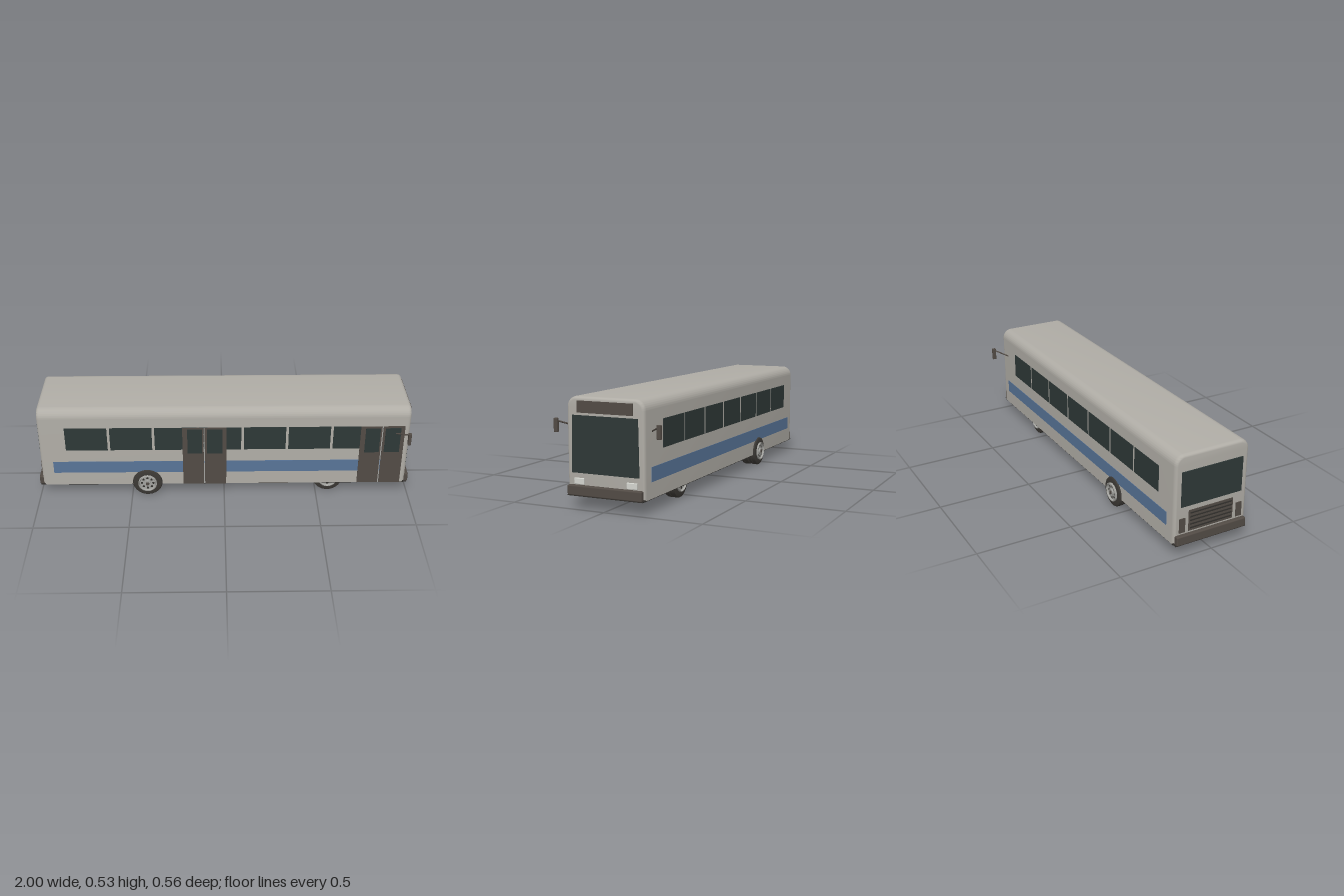
import * as THREE from 'three';
import { toCreasedNormals } from 'three/addons/utils/BufferGeometryUtils.js';
import { RoundedBoxGeometry } from 'three/addons/geometries/RoundedBoxGeometry.js';

const mat = (name, color) => {
  const m = new THREE.MeshStandardMaterial({ color });
  m.name = name;
  return m;
};

export function createModel() {
  const paint = mat('body grey', 0xb0ada6);
  const blue = mat('stripe blue', 0x587498);
  const glass = mat('window glass', 0x2e3837);
  const trim = mat('dark trim', 0x524b45);
  const under = mat('underbody', 0x33312e);
  const rubber = mat('tyre rubber', 0x3c3935);
  const metal = mat('rim metal', 0xa2a29e);
  const lamp = mat('headlight', 0xd4d6d0);

  const bus = new THREE.Group();
  bus.name = 'bus';

  const add = (name, geometry, material, parent = bus) => {
    const m = new THREE.Mesh(geometry, material);
    m.name = name;
    parent.add(m);
    return m;
  };
  // Box given by its limits on each axis
  const box = (name, material, x0, x1, y0, y1, z0, z1, parent = bus) => {
    const m = add(name, new THREE.BoxGeometry(x1 - x0, y1 - y0, z1 - z0), material, parent);
    m.position.set((x0 + x1) / 2, (y0 + y1) / 2, (z0 + z1) / 2);
    return m;
  };

  // Body shell: cross-section with rounded roof corners, bevelled at both ends
  const w = 0.19, bottom = 0.082, top = 0.515, r = 0.036;
  const section = new THREE.Shape();
  section.moveTo(-w, bottom);
  section.lineTo(w, bottom);
  section.lineTo(w, top - r);
  section.absarc(w - r, top - r, r, 0, Math.PI / 2, false);
  section.absarc(-w + r, top - r, r, Math.PI / 2, Math.PI, false);
  section.closePath();
  const shell = new THREE.ExtrudeGeometry(section, {
    depth: 1.92, bevelEnabled: true, bevelSize: 0.015, bevelThickness: 0.02,
    bevelSegments: 5, curveSegments: 8,
  });
  shell.translate(0, 0, -0.96);
  shell.rotateY(Math.PI / 2);
  add('body', toCreasedNormals(shell, 0.6), paint);
  box('underbody', under, -0.975, 0.975, 0.064, 0.075, -0.203, 0.203);

  // Side windows and stripes
  for (const side of [1, -1]) {
    const z0 = side * 0.205 - 0.002, z1 = side * 0.205 + 0.002;
    for (let i = 0; i < 7; i++) {
      const x = -0.84 + i * 0.236;
      box('sideWindow', glass, x, x + 0.222, 0.288, 0.425, z0, z1);
    }
    box('sideStripe', blue, -0.915, 0.915, 0.145, 0.215, z0, z1);
  }

  // Two double doors on the left flank
  for (const x of [-0.221, 0.72]) {
    const door = new THREE.Group();
    door.name = 'door';
    bus.add(door);
    for (const [a, b, g0, g1] of [[0, 0.112, 0.026, 0.104], [0.118, 0.232, 0.13, 0.212]]) {
      box('doorLeaf', trim, x + a, x + b, 0.068, 0.425, 0.2, 0.209, door);
      box('doorGlass', glass, x + g0, x + g1, 0.265, 0.415, 0.208, 0.2105, door);
    }
    box('doorSeal', metal, x + 0.112, x + 0.118, 0.068, 0.425, 0.203, 0.207, door);
  }

  // Front face
  const screen = new THREE.Shape([
    new THREE.Vector2(-0.178, 0.172), new THREE.Vector2(0.178, 0.172),
    new THREE.Vector2(0.173, 0.443), new THREE.Vector2(-0.173, 0.443),
  ]);
  const screenGeo = new THREE.ExtrudeGeometry(screen, { depth: 0.006, bevelEnabled: false });
  screenGeo.rotateY(Math.PI / 2);
  add('windscreen', screenGeo, glass).position.x = 0.978;
  box('destinationPanel', trim, 0.977, 0.984, 0.455, 0.511, -0.147, 0.147);

  // Rear face: window, louvred engine grille
  box('rearWindow', glass, -0.985, -0.977, 0.262, 0.445, -0.17, 0.17);
  box('engineGrille', trim, -0.984, -0.977, 0.125, 0.235, -0.125, 0.125);
  for (let i = 0; i < 5; i++) {
    const y = 0.137 + i * 0.02;
    box('grilleSlat', under, -0.986, -0.982, y, y + 0.007, -0.118, 0.118);
  }

  // Lamps and mirrors on both sides
  for (const s of [1, -1]) {
    const head = add('headlight', new RoundedBoxGeometry(0.012, 0.03, 0.054, 2, 0.003), lamp);
    head.position.set(0.98, 0.133, s * 0.14);
    const tail = add('tailLight', new THREE.BoxGeometry(0.008, 0.075, 0.032), trim);
    tail.position.set(-0.981, 0.163, s * 0.161);

    const mirror = new THREE.Group();
    mirror.name = 'mirror';
    bus.add(mirror);
    const arm = new THREE.LineCurve3(
      new THREE.Vector3(0.9, 0.378, s * 0.2), new THREE.Vector3(0.963, 0.407, s * 0.265));
    add('mirrorArm', new THREE.TubeGeometry(arm, 1, 0.004, 8), trim, mirror);
    const head2 = add('mirrorHousing', new RoundedBoxGeometry(0.016, 0.067, 0.021, 2, 0.003), trim, mirror);
    head2.position.set(0.966, 0.387, s * 0.272);
  }

  // Bumpers
  for (const s of [1, -1]) {
    const bumper = add('bumper', new RoundedBoxGeometry(0.035, 0.05, 0.394, 3, 0.007), trim);
    bumper.position.set(s * 0.9825, 0.09, 0);
    box('bumperSkirt', under, s * 0.982 - 0.012, s * 0.982 + 0.012, 0.063, 0.067, -0.2, 0.2);
  }

  // Wheels: axis along z, outer face towards +z before mirroring
  const tyre = (width) => {
    const h = width / 2;
    const pts = [[0.05, -h], [0.07, -h], [0.077, -h + 0.003], [0.08, -h + 0.009],
      [0.08, -0.003], [0.076, -0.0015], [0.076, 0.0015], [0.08, 0.003],
      [0.08, h - 0.009], [0.077, h - 0.003], [0.07, h], [0.05, h]];
    const g = new THREE.LatheGeometry(pts.map(p => new THREE.Vector2(...p)), 36);
    g.rotateX(Math.PI / 2);
    return toCreasedNormals(g, 0.7);
  };
  const disc = (radius, depth, seg = 32) =>
    new THREE.CylinderGeometry(radius, radius, depth, seg).rotateX(Math.PI / 2);

  const wheel = (name, x, side, outer, tyreWidth, count) => {
    const g = new THREE.Group();
    g.name = name;
    g.position.set(x, 0.08, side * outer);
    if (side < 0) g.rotation.y = Math.PI;
    bus.add(g);
    for (let i = 0; i < count; i++) {
      add('tyre', tyre(tyreWidth), rubber, g).position.z = -tyreWidth / 2 - i * (tyreWidth + 0.004);
    }
    const depth = count * (tyreWidth + 0.004) - 0.006;
    add('wheelDrum', disc(0.0505, depth), under, g).position.z = -depth / 2 - 0.002;
    // Rim ring, dished disc, hand holes and hub
    const ring = [[0.041, -0.004], [0.05, -0.004], [0.05, 0.008], [0.046, 0.01], [0.041, 0.002], [0.041, -0.004]];
    const ringGeo = new THREE.LatheGeometry(ring.map(p => new THREE.Vector2(...p)), 36).rotateX(Math.PI / 2);
    add('rim', toCreasedNormals(ringGeo, 0.6), metal, g);
    add('rimDisc', disc(0.042, 0.006), metal, g).position.z = -0.002;
    for (let i = 0; i < 8; i++) {
      const a = (i / 8) * Math.PI * 2;
      add('rimHole', disc(0.0065, 0.002, 12), under, g)
        .position.set(Math.cos(a) * 0.031, Math.sin(a) * 0.031, 0.001);
    }
    add('hub', disc(0.018, 0.01, 20), metal, g).position.z = 0.004;
    add('hubCap', disc(0.01, 0.008, 16), trim, g).position.z = 0.008;
  };
  for (const s of [1, -1]) {
    wheel('frontWheel', 0.565, s, 0.183, 0.06, 1);
    wheel('rearWheel', -0.415, s, 0.215, 0.043, 2);
  }

  // Axles
  for (const x of [0.565, -0.415]) {
    add('axle', disc(0.014, 0.3, 12), under).position.set(x, 0.08, 0);
  }
  return bus;
}
